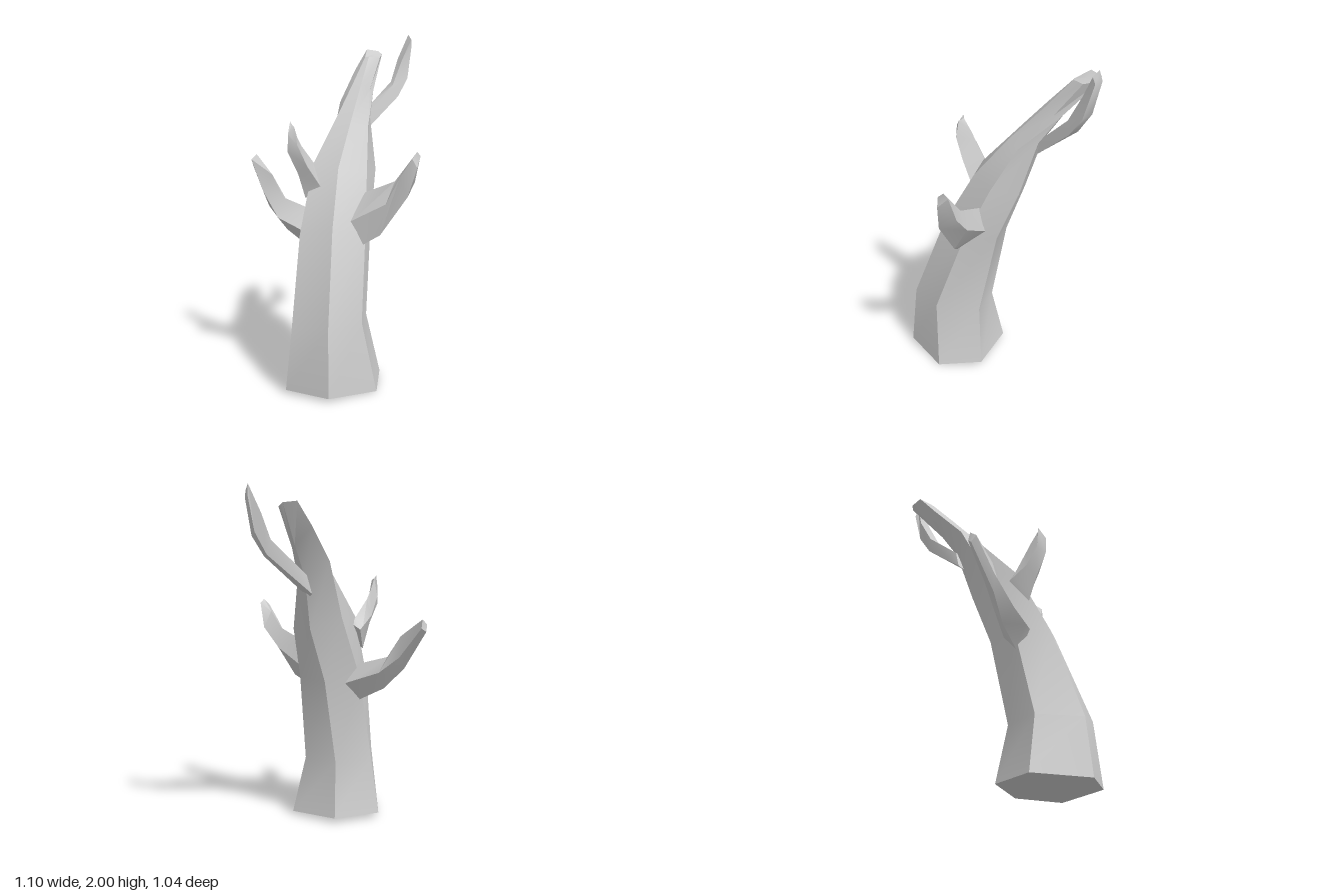
import * as THREE from 'three';
import { toCreasedNormals } from 'three/addons/utils/BufferGeometryUtils.js';

const material = new THREE.MeshStandardMaterial({ color: 0xcccccc });

// Closed skin through cross-sections; each ring is a list of [x, y, z] corners.
function loft(name, rings) {
  const n = rings[0].length;
  const points = rings.flat();
  const index = [];
  for (let r = 0; r < rings.length - 1; r++) {
    for (let i = 0; i < n; i++) {
      const a = r * n + i, b = r * n + (i + 1) % n;
      index.push(a, b, b + n, a, b + n, a + n);
    }
  }
  // End caps, fanned around their centres
  const centre = (ring) => [0, 1, 2].map((k) => ring.reduce((s, p) => s + p[k], 0) / n);
  const first = points.length, last = first + 1, top = (rings.length - 1) * n;
  points.push(centre(rings[0]), centre(rings[rings.length - 1]));
  for (let i = 0; i < n; i++) {
    const j = (i + 1) % n;
    index.push(first, j, i, last, top + i, top + j);
  }
  // Turn the faces outward if the rings run clockwise
  const v = points.map((p) => new THREE.Vector3(...p));
  let volume = 0;
  for (let i = 0; i < index.length; i += 3) {
    volume += v[index[i]].dot(v[index[i + 1]].clone().cross(v[index[i + 2]]));
  }
  if (volume < 0) index.reverse();

  const geometry = new THREE.BufferGeometry();
  geometry.setAttribute('position', new THREE.Float32BufferAttribute(points.flat(), 3));
  geometry.setIndex(index);
  const mesh = new THREE.Mesh(toCreasedNormals(geometry, 0.5), material);
  mesh.name = name;
  return mesh;
}

// A branch is a loft whose root is carried on a little way into the trunk.
function branch(name, rings) {
  const root = rings[0].map((p, i) => p.map((c, k) => c - 0.3 * (rings[1][i][k] - c)));
  return loft(name, [root, ...rings]);
}

export function createModel() {
  const group = new THREE.Group();
  group.name = 'deadTree';

  // Trunk: six-sided, leaning and tapering; front-left round to left
  group.add(loft('trunk', [
    [[-0.41, 0.02, 0.435], [-0.1, 0, 0.435], [0.06, 0.02, 0.22], [-0.08, 0.03, -0.06], [-0.375, 0.03, -0.095], [-0.55, 0.02, 0.2]],
    [[-0.39, 0.4, 0.4], [-0.17, 0.4, 0.39], [-0.01, 0.37, 0.18], [-0.12, 0.36, 0], [-0.36, 0.36, -0.03], [-0.51, 0.36, 0.2]],
    [[-0.27, 0.91, 0.24], [-0.06, 0.88, 0.25], [0.07, 0.9, 0.1], [-0.02, 0.88, -0.04], [-0.25, 0.88, -0.07], [-0.39, 0.87, 0.08]],
    [[-0.15, 1.23, 0.1], [0.03, 1.2, 0.12], [0.16, 1.2, 0.01], [0.1, 1.2, -0.08], [-0.09, 1.26, -0.12], [-0.24, 1.25, -0.03]],
    [[0.01, 1.48, -0.03], [0.12, 1.46, -0.01], [0.19, 1.5, -0.1], [0.17, 1.5, -0.15], [0.05, 1.59, -0.22], [0, 1.54, -0.14]],
    [[0.17, 1.7, -0.17], [0.23, 1.66, -0.17], [0.27, 1.66, -0.19], [0.27, 1.68, -0.22], [0.21, 1.78, -0.31], [0.14, 1.71, -0.21]],
    [[0.28, 1.86, -0.26], [0.36, 1.86, -0.255], [0.42, 1.88, -0.325], [0.405, 1.9, -0.345], [0.32, 1.91, -0.345], [0.265, 1.86, -0.28]],
  ]));

  // Front branch: bottom, right, top, left corners
  group.add(branch('frontBranch', [
    [[-0.09, 0.81, 0.27], [-0.135, 0.95, 0.235], [0, 1.1, 0.19], [0.03, 0.95, 0.16]],
    [[-0.02, 0.87, 0.34], [-0.01, 1.05, 0.38], [0.07, 1.17, 0.35], [0.1, 1.05, 0.33]],
    [[0.06, 1.1, 0.49], [0.04, 1.2, 0.44], [0.1, 1.27, 0.43], [0.15, 1.17, 0.43]],
    [[0.1, 1.26, 0.52], [0.08, 1.31, 0.5], [0.12, 1.345, 0.49], [0.15, 1.32, 0.48]],
  ]));

  // Side branch: top, front, bottom, back corners
  group.add(branch('sideBranch', [
    [[-0.23, 1.25, -0.04], [-0.26, 1.15, 0.06], [-0.32, 1.09, 0], [-0.26, 1.2, -0.08]],
    [[-0.32, 1.36, -0.03], [-0.33, 1.25, 0.06], [-0.36, 1.2, 0.01], [-0.34, 1.26, -0.05]],
    [[-0.35, 1.41, -0.02], [-0.39, 1.37, 0.06], [-0.43, 1.33, 0.02], [-0.4, 1.37, -0.02]],
    [[-0.39, 1.48, 0], [-0.395, 1.47, 0.035], [-0.43, 1.43, 0.025], [-0.4, 1.5, -0.005]],
  ]));

  // Back branch: bottom, left, top, right corners
  group.add(branch('backBranch', [
    [[-0.26, 0.76, -0.07], [-0.18, 0.88, -0.1], [-0.24, 0.98, -0.09], [-0.34, 0.88, -0.06]],
    [[-0.32, 0.84, -0.22], [-0.27, 0.94, -0.24], [-0.33, 1.03, -0.24], [-0.39, 0.92, -0.2]],
    [[-0.38, 0.97, -0.34], [-0.33, 1.04, -0.36], [-0.36, 1.16, -0.33], [-0.41, 1.06, -0.36]],
    [[-0.4, 1.2, -0.52], [-0.37, 1.22, -0.515], [-0.38, 1.27, -0.51], [-0.42, 1.24, -0.5]],
  ]));

  // Upper twig: lower front, lower back, upper back, upper front corners
  group.add(branch('upperTwig', [
    [[0.19, 1.44, -0.11], [0.2, 1.46, -0.17], [0.22, 1.56, -0.17], [0.19, 1.52, -0.12]],
    [[0.41, 1.62, -0.125], [0.42, 1.63, -0.18], [0.4, 1.71, -0.19], [0.38, 1.69, -0.14]],
    [[0.49, 1.73, -0.14], [0.5, 1.75, -0.2], [0.47, 1.85, -0.22], [0.46, 1.84, -0.16]],
    [[0.54, 1.93, -0.17], [0.545, 1.94, -0.215], [0.535, 2, -0.2], [0.53, 1.97, -0.16]],
  ]));

  return group;
}
